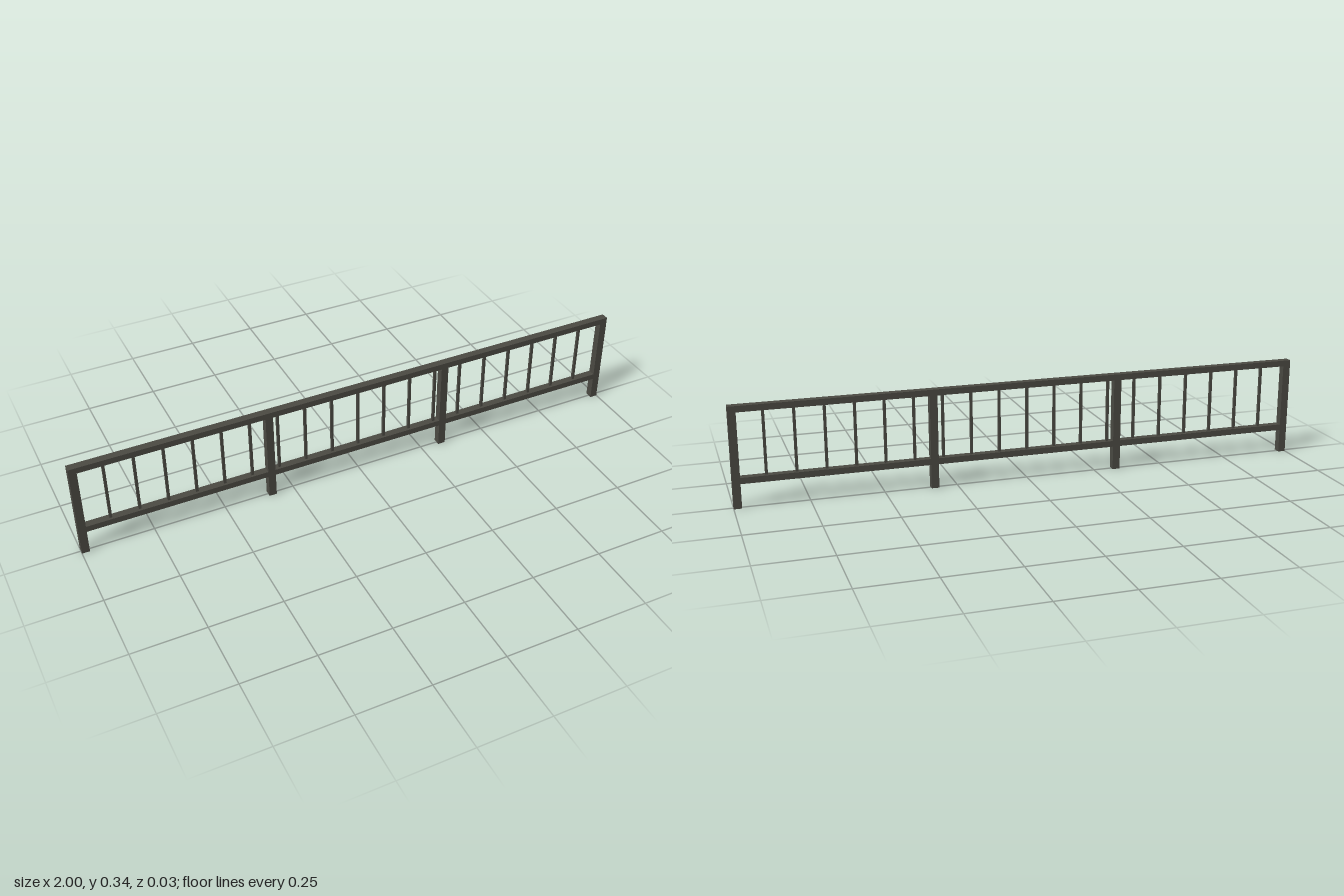
import * as THREE from 'three';

const HEIGHT = 0.345;     // overall height
const POST = 0.0265;      // square post section, also the depth of the rails
const RAIL = 0.021;       // rail height
const BAR = 0.009;        // square baluster section
const LOW = 0.094;        // centre height of the lower rail
const END = 1 - POST / 2; // x of the end posts

export function createModel() {
  const group = new THREE.Group();
  group.name = 'railing';
  const metal = new THREE.MeshStandardMaterial({ color: 0x4b4a43 });

  const box = (name, w, h, d, x, y) => {
    const mesh = new THREE.Mesh(new THREE.BoxGeometry(w, h, d), metal);
    mesh.name = name;
    mesh.position.set(x, y, 0);
    group.add(mesh);
  };

  // Handrail over the post tops, lower rail running between the end posts
  box('topRail', 2, RAIL, POST, 0, HEIGHT - RAIL / 2);
  box('lowerRail', 2 * END - POST, RAIL, POST, 0, LOW);

  // Four evenly spaced posts from the ground to the handrail
  const postHeight = HEIGHT - RAIL;
  for (let i = 0; i < 4; i++) {
    box('post', POST, postHeight, POST, -END + (2 * END * i) / 3, postHeight / 2);
  }

  // Thin balusters between the rails, independent of the post spacing
  const bottom = LOW + RAIL / 2;
  const barHeight = postHeight - bottom;
  for (let i = -9; i <= 9; i++) {
    box('baluster', BAR, barHeight, BAR, (i * END) / 10, bottom + barHeight / 2);
  }
  return group;
}
